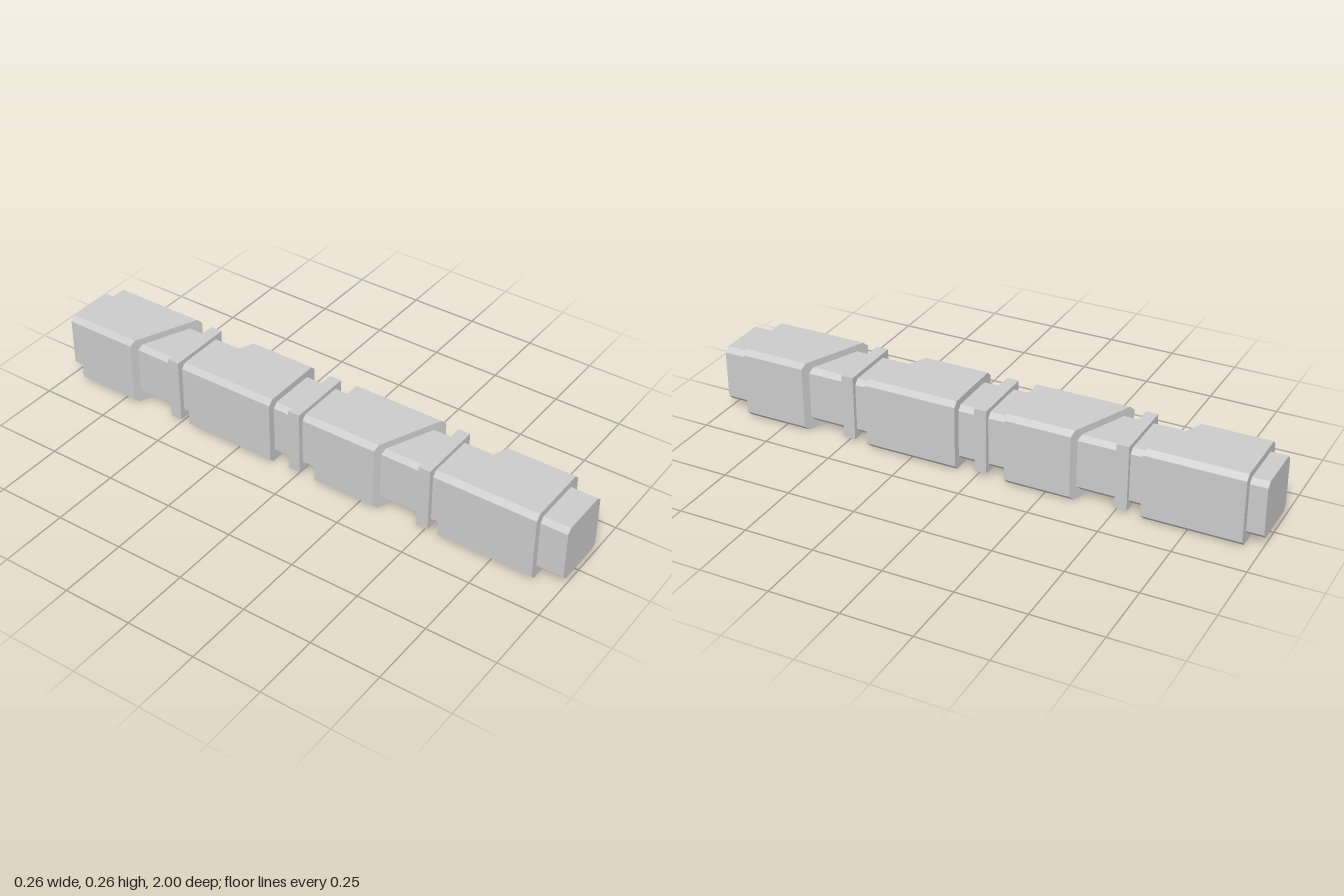
import * as THREE from 'three';

const material = new THREE.MeshStandardMaterial({ color: 0xcccccc, flatShading: true });

// Square outline with cut corners
function chamferedSquare(half, cut) {
  const a = half, b = half - cut;
  return new THREE.Shape([
    [b, -a], [a, -b], [a, b], [b, a], [-b, a], [-a, b], [-a, -b], [-b, -a],
  ].map(([x, y]) => new THREE.Vector2(x, y)));
}

// Chamfered bar along z; each end may slant, z growing by slope per unit of x
function bar(name, half, cut, back, front, backSlope = 0, frontSlope = 0) {
  const geometry = new THREE.ExtrudeGeometry(chamferedSquare(half, cut), { depth: 1, bevelEnabled: false });
  const p = geometry.attributes.position;
  for (let i = 0; i < p.count; i++) {
    const x = p.getX(i);
    p.setZ(i, p.getZ(i) < 0.5 ? back + backSlope * x : front + frontSlope * x);
  }
  geometry.computeVertexNormals();
  const mesh = new THREE.Mesh(geometry, material);
  mesh.name = name;
  mesh.position.y = 0.13;
  return mesh;
}

export function createModel() {
  const model = new THREE.Group();
  model.name = 'segmentedBar';

  // Inner core running the full length
  const core = bar('core', 0.103, 0.017, -1, 1);
  core.position.set(-0.001, 0.132, 0);
  model.add(core);

  // Four sleeves, each with one slanted end: back, front, backSlope, frontSlope
  const slope = 0.425;
  [
    [-0.94, -0.649, 0, slope],
    [-0.4, -0.108, slope, 0],
    [0.076, 0.363, 0, slope],
    [0.613, 0.904, slope, 0],
  ].forEach((ends, i) => model.add(bar(`sleeve${i + 1}`, 0.13, 0.018, ...ends)));

  // Square collars between the sleeves
  [-0.52, -0.013, 0.494].forEach((z, i) => {
    const collar = new THREE.Mesh(new THREE.BoxGeometry(0.24, 0.238, 0.044), material);
    collar.name = `collar${i + 1}`;
    collar.position.set(-0.003, 0.132, z);
    model.add(collar);
  });

  return model;
}
